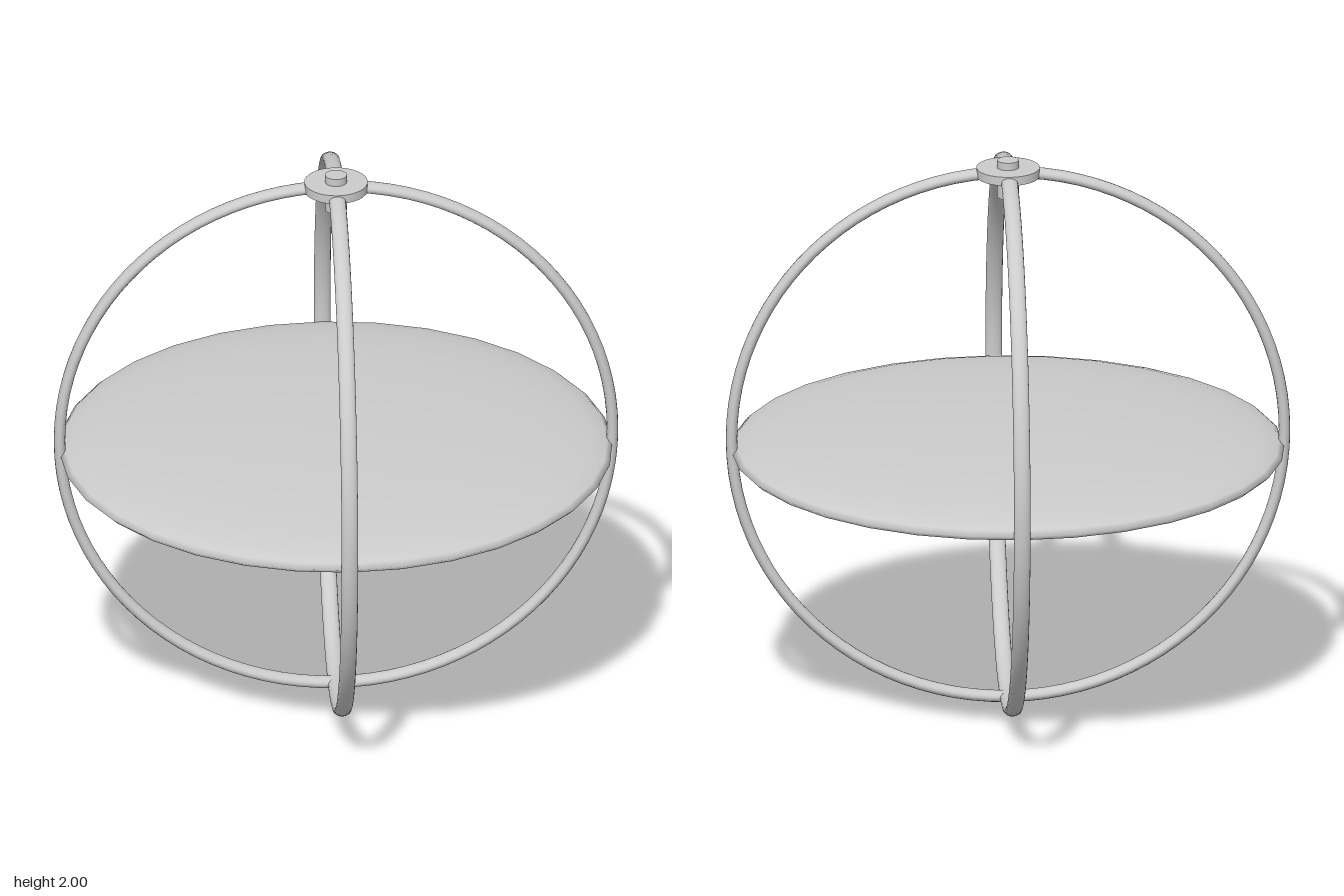
import * as THREE from 'three';

export function createModel() {
  const model = new THREE.Group();
  const material = new THREE.MeshStandardMaterial({ color: 0xcccccc });

  function add(name, geometry, y) {
    const mesh = new THREE.Mesh(geometry, material);
    mesh.name = name;
    mesh.position.y = y;
    model.add(mesh);
    return mesh;
  }

  // Two upright hoops crossing at right angles, with an oval section
  const hoopY = 0.988;
  ['sideHoop', 'frontHoop'].forEach((name, i) => {
    const hoop = new THREE.TorusGeometry(0.967, 0.02, 16, 96);
    hoop.scale(1, 1, 1.45);
    hoop.rotateY(i * Math.PI / 2);
    add(name, hoop, hoopY);
  });

  // Lens-shaped seat: a flattened sphere
  const seat = new THREE.SphereGeometry(0.967, 32, 16);
  seat.scale(1, 0.092, 1);
  add('seat', seat, 0.937);

  // Hanging fixture where the hoops meet at the top
  add('hubPin', new THREE.CylinderGeometry(0.038, 0.038, 0.135, 32), 1.9325);
  add('hubFlange', new THREE.CylinderGeometry(0.111, 0.111, 0.032, 32), 1.957);

  return model;
}
